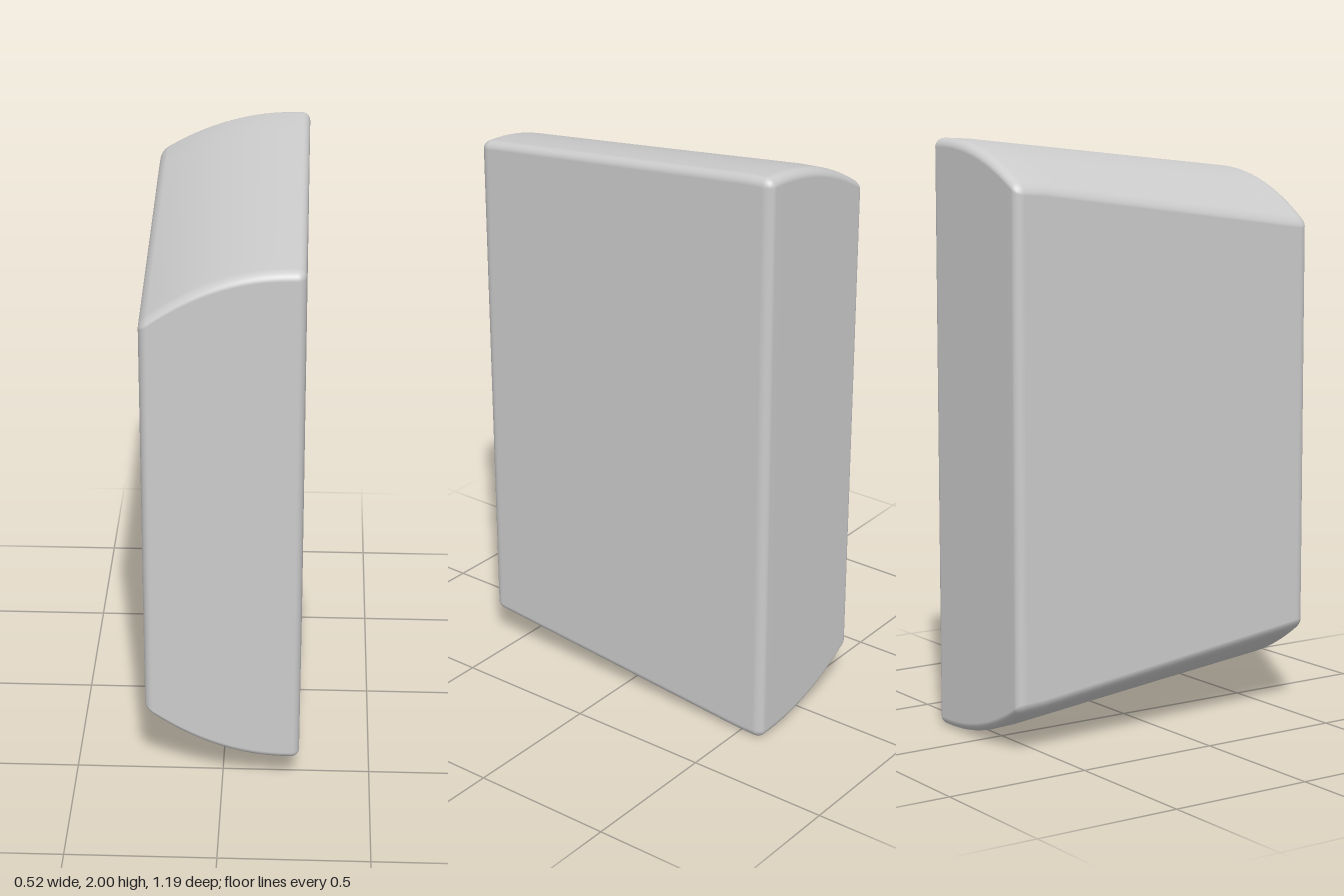
import * as THREE from 'three';
import { mergeVertices } from 'three/addons/utils/BufferGeometryUtils.js';

const HALF = [0.26, 1, 0.595];      // half sizes of the block
const RADIUS = [0.028, 0.03, 0.035]; // edge rounding along each axis
const ROUND = 4;                    // segments in each rounded edge
const FLAT = [14, 4, 16];           // segments in each flat stretch

// Half height: tapers toward the front, and falls off in a curve toward -x.
function halfHeight(x, z) {
  const t = Math.min(1, Math.max(0, (z + 0.52) / 1.115));
  const s = Math.max(0, (0.22 - x) / 0.48);
  return 1 - 0.11 * t - (0.15 + 0.035 * t) * Math.pow(s, 2.1);
}

// Splits a grid step into a position on the inner core and an outward offset.
function splitStep(i, axis) {
  const n = FLAT[axis];
  const core = HALF[axis] - RADIUS[axis];
  const k = Math.min(n, Math.max(0, i - ROUND));
  const over = (i - ROUND - k) / ROUND;
  return [core * (2 * k / n - 1), Math.tan(over * Math.PI / 4)];
}

function roundedTaperedBlock() {
  const n = FLAT.map((f) => f + 2 * ROUND);
  const geo = new THREE.BoxGeometry(n[0], n[1], n[2], n[0], n[1], n[2]);
  geo.deleteAttribute('normal');
  geo.deleteAttribute('uv');
  const pos = geo.attributes.position;
  const dir = new THREE.Vector3();
  for (let v = 0; v < pos.count; v++) {
    const steps = [pos.getX(v), pos.getY(v), pos.getZ(v)]
      .map((c, a) => splitStep(Math.round(c + n[a] / 2), a));
    dir.set(steps[0][1], steps[1][1], steps[2][1]).normalize();
    const x = steps[0][0] + dir.x * RADIUS[0];
    const y = steps[1][0] + dir.y * RADIUS[1];
    const z = steps[2][0] + dir.z * RADIUS[2];
    pos.setXYZ(v, x, 1 + y * halfHeight(x, z), z);
  }
  const smooth = mergeVertices(geo, 1e-5);
  smooth.computeVertexNormals();
  return smooth;
}

export function createModel() {
  const group = new THREE.Group();
  group.name = 'taperedBlock';
  const body = new THREE.Mesh(
    roundedTaperedBlock(),
    new THREE.MeshStandardMaterial({ color: 0xcccccc })
  );
  body.name = 'body';
  group.add(body);
  return group;
}
